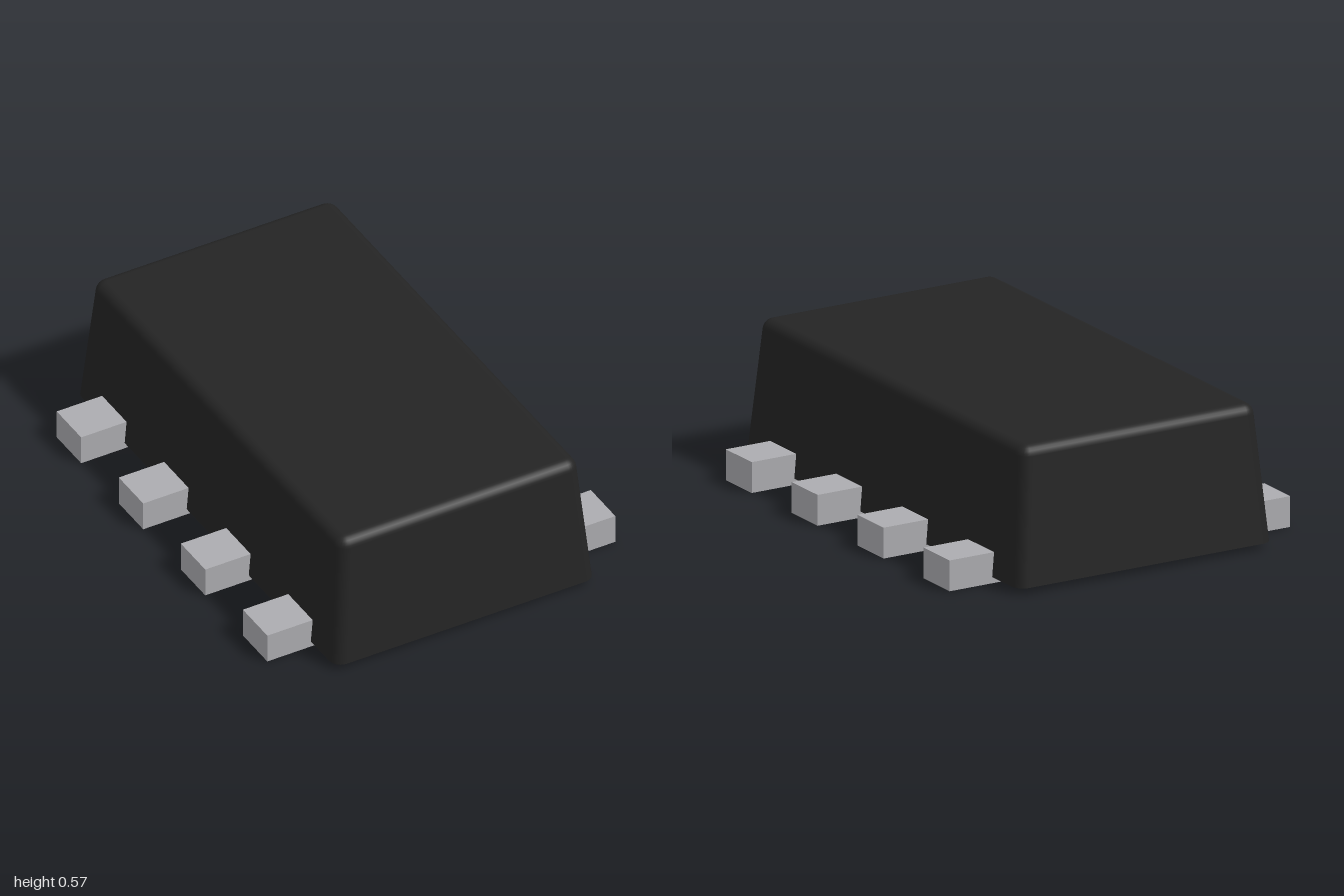
import * as THREE from 'three';

const bodyMaterial = new THREE.MeshStandardMaterial({ color: 0x242424 });
bodyMaterial.name = 'black plastic';
const leadMaterial = new THREE.MeshStandardMaterial({ color: 0xacacb0 });
leadMaterial.name = 'tinned metal';

// Tapered block: rounded-rectangle rings stacked along a drafted wall and a top fillet
function createBodyGeometry() {
  const halfX = 0.57, halfZ = 1, bottom = 0.025, top = 0.572;
  const corner = 0.05, fillet = 0.045, draft = 0.085, steps = 6;
  const wallTop = top - fillet + fillet * Math.sin(draft);
  const inset = (wallTop - bottom) * Math.tan(draft);

  // Each ring: height, shift of the corner centres, corner radius, upward tilt of the normal
  const rings = [{ y: bottom, shift: 0, r: corner, tilt: draft }];
  for (let i = 0; i <= steps; i++) {
    const a = draft + (Math.PI / 2 - draft) * i / steps;
    rings.push({
      y: top - fillet + fillet * Math.sin(a), shift: inset,
      r: corner - fillet * (Math.cos(draft) - Math.cos(a)), tilt: a,
    });
  }
  // Caps repeat the end rings with flat normals
  const bottomRing = { ...rings[0], tilt: -Math.PI / 2 };
  const topRing = { ...rings[rings.length - 1], tilt: Math.PI / 2 };
  const all = [...rings, bottomRing, topRing];

  const positions = [], normals = [], index = [];
  const perRing = 4 * (steps + 1);
  for (const { y, shift, r, tilt } of all) {
    for (let q = 0; q < 4; q++) {
      const sx = q === 0 || q === 3 ? 1 : -1, sz = q < 2 ? 1 : -1;
      for (let k = 0; k <= steps; k++) {
        const t = (q + k / steps) * Math.PI / 2;
        const c = Math.cos(t), s = Math.sin(t);
        positions.push(sx * (halfX - corner - shift) + r * c, y, sz * (halfZ - corner - shift) + r * s);
        normals.push(c * Math.cos(tilt), Math.sin(tilt), s * Math.cos(tilt));
      }
    }
  }
  for (let j = 0; j < rings.length - 1; j++) {
    for (let i = 0; i < perRing; i++) {
      const n = (i + 1) % perRing;
      const a = j * perRing + i, b = j * perRing + n;
      index.push(a, a + perRing, b, b, a + perRing, b + perRing);
    }
  }
  const low = rings.length * perRing, high = low + perRing;
  for (let i = 1; i < perRing - 1; i++) {
    index.push(low, low + i, low + i + 1, high, high + i + 1, high + i);
  }
  const geometry = new THREE.BufferGeometry();
  geometry.setAttribute('position', new THREE.Float32BufferAttribute(positions, 3));
  geometry.setAttribute('normal', new THREE.Float32BufferAttribute(normals, 3));
  geometry.setIndex(index);
  return geometry;
}

export function createModel() {
  const model = new THREE.Group();
  model.name = 'chipPackage';

  const body = new THREE.Mesh(createBodyGeometry(), bodyMaterial);
  body.name = 'body';
  model.add(body);

  // Four leads along each long side, their feet tucked under the body
  const inner = 0.48, outer = 0.76, height = 0.123;
  const leadGeometry = new THREE.BoxGeometry(outer - inner, height, 0.188);
  for (const side of [1, -1]) {
    for (let i = 0; i < 4; i++) {
      const lead = new THREE.Mesh(leadGeometry, leadMaterial);
      lead.name = `${side > 0 ? 'left' : 'right'}Lead${i + 1}`;
      lead.position.set(side * (inner + outer) / 2, height / 2, (i - 1.5) * 0.477);
      model.add(lead);
    }
  }
  return model;
}
